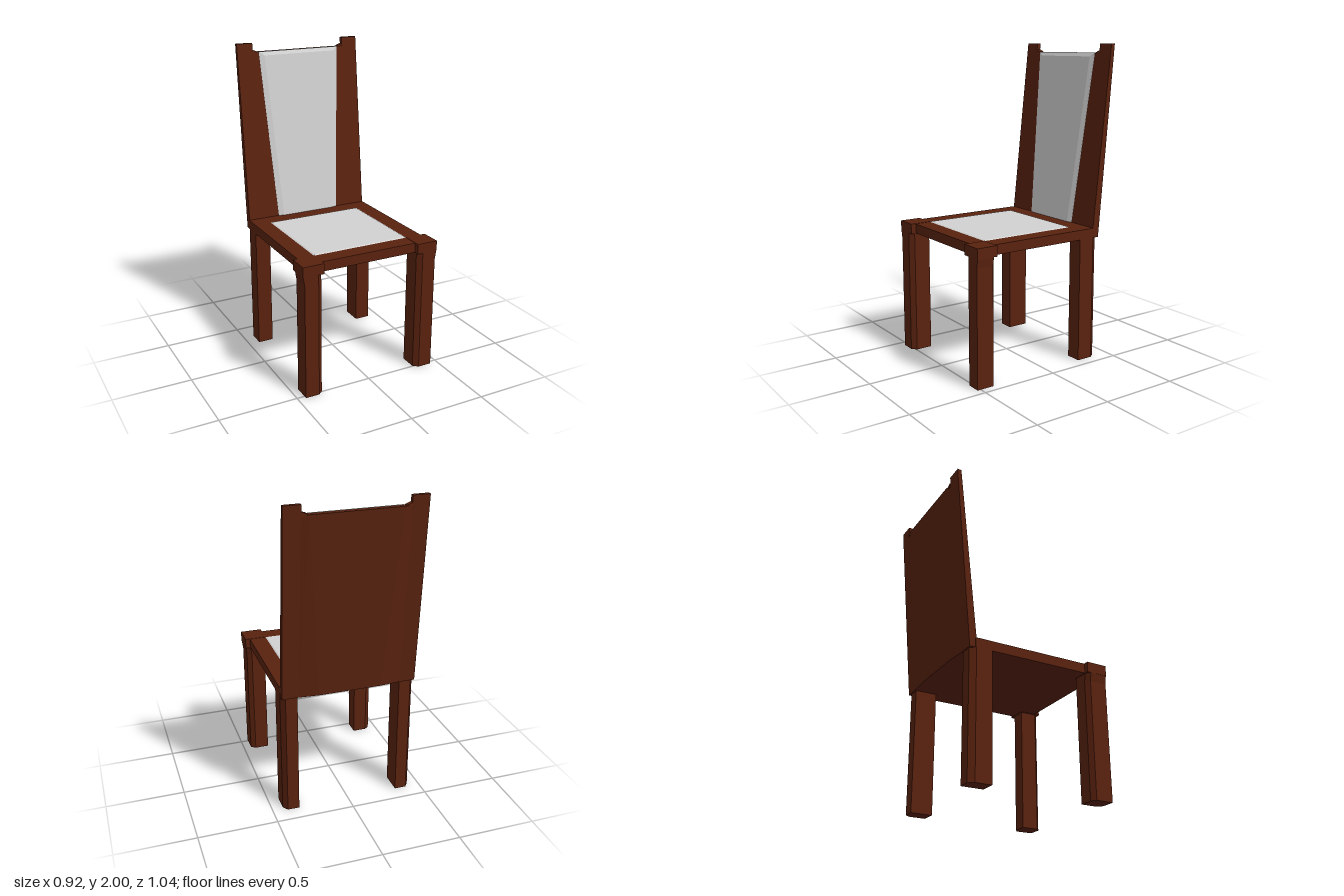
import * as THREE from 'three';

const wood = new THREE.MeshStandardMaterial({ color: 0x5a220f });
wood.name = 'reddish brown wood';
const fabric = new THREE.MeshStandardMaterial({ color: 0xd2d2d2 });
fabric.name = 'light grey fabric';

// Flat-faced solid joining convex rings of [x, y, z] points; turned inside out if needed
function loft(name, rings, material) {
  const n = rings[0].length;
  const tris = [];
  for (let r = 0; r < rings.length - 1; r++) {
    for (let i = 0; i < n; i++) {
      const j = (i + 1) % n;
      const [a, b, c, d] = [rings[r][i], rings[r][j], rings[r + 1][j], rings[r + 1][i]];
      tris.push([a, b, c], [a, c, d]);
    }
  }
  const last = rings[rings.length - 1];
  for (let i = 1; i < n - 1; i++) {
    tris.push([rings[0][0], rings[0][i + 1], rings[0][i]], [last[0], last[i], last[i + 1]]);
  }
  const v = (p) => new THREE.Vector3(...p);
  const volume = tris.reduce((s, [a, b, c]) => s + v(a).dot(v(b).cross(v(c))), 0);
  if (volume < 0) tris.forEach((t) => t.reverse());
  const geometry = new THREE.BufferGeometry();
  geometry.setAttribute('position', new THREE.Float32BufferAttribute(tris.flat(2), 3));
  geometry.computeVertexNormals();
  const mesh = new THREE.Mesh(geometry, material);
  mesh.name = name;
  return mesh;
}

// Horizontal ring from [x, z] points
const level = (y, points) => points.map(([x, z]) => [x, y, z]);

function box(name, x0, x1, y0, y1, z0, z1, material) {
  const mesh = new THREE.Mesh(new THREE.BoxGeometry(x1 - x0, y1 - y0, z1 - z0), material);
  mesh.position.set((x0 + x1) / 2, (y0 + y1) / 2, (z0 + z1) / 2);
  mesh.name = name;
  return mesh;
}

// Sloping front and rear faces of the backrest
const frontZ = (y) => -0.365 - (y - 0.86) * 0.106;
const rearZ = (y) => -0.408 - (y - 0.795) * 0.086;

export function createModel() {
  const chair = new THREE.Group();
  chair.name = 'chair';

  // Seat slab and its cushion
  chair.add(box('seatFrame', -0.43, 0.43, 0.795, 0.857, -0.37, 0.49, wood));
  const pad = (y, t) => level(y, [
    [-0.322 + t, -0.26 + t], [0.322 - t, -0.26 + t], [0.322 - t, 0.385 - t], [-0.322 + t, 0.385 - t],
  ]);
  chair.add(loft('seatCushion', [pad(0.85, 0), pad(0.857, 0), pad(0.861, 0.008)], fabric));

  for (const s of [-1, 1]) {
    // Front leg, chamfered on two corners and flared under its head
    const frontLeg = (y, out) => level(y, [
      [s * 0.36, 0.522], [s * out, 0.522], [s * out, 0.41],
      [s * (out - 0.03), 0.388], [s * 0.33, 0.388], [s * 0.33, 0.495],
    ]);
    chair.add(loft('frontLeg', [frontLeg(0, 0.45), frontLeg(0.74, 0.45), frontLeg(0.8, 0.46)], wood));
    chair.add(box('frontLegHead', Math.min(s * 0.322, s * 0.46), Math.max(s * 0.322, s * 0.46),
      0.793, 0.859, 0.386, 0.523, wood));

    // Rear leg with a chamfered outer back corner
    const rearLeg = (y) => level(y, [
      [s * 0.33, -0.26], [s * 0.43, -0.26], [s * 0.43, -0.365], [s * 0.405, -0.4], [s * 0.33, -0.4],
    ]);
    chair.add(loft('rearLeg', [rearLeg(0), rearLeg(0.8)], wood));

    // Leaning backrest post
    const post = (y) => level(y, [
      [s * 0.322, frontZ(y)], [s * 0.428, frontZ(y)], [s * 0.428, rearZ(y)], [s * 0.322, rearZ(y)],
    ]);
    chair.add(loft('backPost', [post(0.795), post(2)], wood));

    // Small sloped shoulder between post and panel
    const shoulder = (z) => [
      [s * 0.322, 1.93, z], [s * 0.322, 1.958, z], [s * 0.29, 1.946, z], [s * 0.28, 1.93, z],
    ];
    chair.add(loft('backShoulder', [shoulder(-0.481), shoulder(-0.512)], wood));
  }

  // Backrest panel, slightly bowed at the rear
  const panel = (y, w) => level(y, [
    [-0.325, frontZ(y)], [0.325, frontZ(y)], [0.325, rearZ(y)],
    [w, rearZ(y) - 0.011], [-w, rearZ(y) - 0.011], [-0.325, rearZ(y)],
  ]);
  chair.add(loft('backPanel', [panel(0.795, 0.2), panel(1.942, 0.28)], wood));

  // Tapered back cushion with bevelled rim
  const backPad = (t, lift) => [[-1, 0.857], [1, 0.857], [1, 1.944], [-1, 1.944]].map(([s, y]) => {
    const top = y > 1;
    const py = top ? y - t * 0.7 : y;
    return [s * ((top ? 0.282 : 0.217) - t), py, frontZ(py) + lift];
  });
  chair.add(loft('backCushion', [backPad(0, -0.005), backPad(0, 0.001), backPad(0.035, 0.011)], fabric));

  return chair;
}
